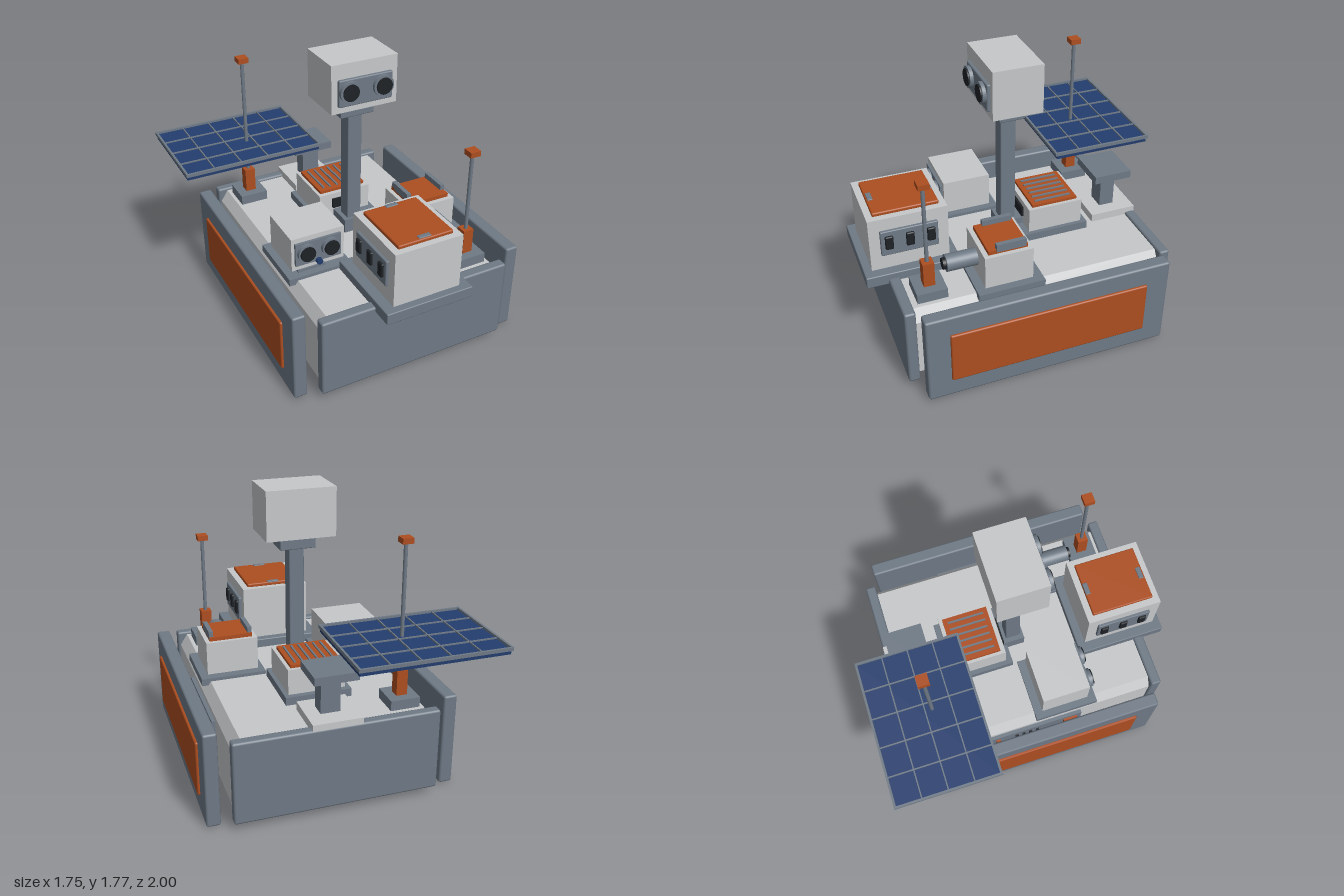
import * as THREE from 'three';
import { RoundedBoxGeometry } from 'three/addons/geometries/RoundedBoxGeometry.js';

const paint = (name, color) => {
  const m = new THREE.MeshStandardMaterial({ color });
  m.name = name;
  return m;
};

export function createModel() {
  const light = paint('light grey', 0xc6c8ca);
  const steel = paint('steel grey', 0x6f7a86);
  const orange = paint('burnt orange', 0xad4e20);
  const blue = paint('solar blue', 0x233d6e);
  const black = paint('black', 0x1e2226);
  const CX = 0.0875; // centre line of the chassis

  const model = new THREE.Group();
  model.name = 'rover';
  const group = (name) => {
    const g = new THREE.Group();
    g.name = name;
    model.add(g);
    return g;
  };
  // Box given by its limits on x, y and z; r bevels the edges
  const box = (parent, name, mat, [x0, x1], [y0, y1], [z0, z1], r = 0) => {
    const s = [x1 - x0, y1 - y0, z1 - z0];
    const geo = r ? new RoundedBoxGeometry(...s, 1, r) : new THREE.BoxGeometry(...s);
    const mesh = new THREE.Mesh(geo, mat);
    mesh.name = name;
    mesh.position.set((x0 + x1) / 2, (y0 + y1) / 2, (z0 + z1) / 2);
    parent.add(mesh);
    return mesh;
  };
  // Cylinder along z from z0 to z1
  const barrel = (parent, name, mat, x, y, r, z0, z1) => {
    const mesh = new THREE.Mesh(new THREE.CylinderGeometry(r, r, z1 - z0, 32), mat);
    mesh.name = name;
    mesh.rotation.x = Math.PI / 2;
    mesh.position.set(x, y, (z0 + z1) / 2);
    parent.add(mesh);
  };
  // Limits mirrored about the chassis centre line for side = -1
  const span = (side, a, b) => (side > 0 ? [CX + a, CX + b] : [CX - b, CX - a]);

  // Chassis: hull with sloped upper edges, closed by end panels
  const chassis = group('chassis');
  const section = new THREE.Shape([
    [-0.56, 0.05], [0.56, 0.05], [0.61, 0.1], [0.61, 0.48], [0.563, 0.555],
    [-0.563, 0.555], [-0.61, 0.48], [-0.61, 0.1],
  ].map(([x, y]) => new THREE.Vector2(x, y)));
  const hull = new THREE.Mesh(new THREE.ExtrudeGeometry(section, { depth: 1.58, bevelEnabled: false }), light);
  hull.name = 'hull';
  hull.position.set(CX, 0, -0.78);
  chassis.add(hull);
  box(chassis, 'frontPanel', steel, [-0.54, 0.715], [0.05, 0.572], [0.797, 0.866], 0.013);
  box(chassis, 'backPanel', steel, [-0.54, 0.715], [0.05, 0.572], [-0.828, -0.762], 0.013);
  box(chassis, 'bellyPlate', steel, [-0.453, 0.627], [0.018, 0.055], [-0.7, 0.74]);

  for (const side of [1, -1]) {
    // Side panels with orange inlay
    box(chassis, 'sidePanel', steel, span(side, 0.687, 0.772), [0.012, 0.608], [-0.748, 0.787], 0.013);
    box(chassis, 'sideInlay', orange, span(side, 0.765, 0.788), [0.137, 0.483], [-0.598, 0.645], 0.009);
    // Equipment on the hull flank, behind the side panel
    box(chassis, 'flankPlate', steel, span(side, 0.605, 0.633), [0.2, 0.45], [-0.325, 0.312]);
    box(chassis, 'flankHatch', orange, span(side, 0.63, 0.646), [0.23, 0.42], [0.185, 0.28]);
    box(chassis, 'flankMarker', orange, span(side, 0.63, 0.646), [0.23, 0.42], [-0.285, -0.257]);
    for (let i = 0; i < 4; i++) {
      const z = -0.142 + i * 0.048;
      box(chassis, 'flankVent', black, span(side, 0.63, 0.643), [0.25, 0.4], [z - 0.01, z + 0.01]);
    }
    // Belly rails and deck plates
    box(chassis, 'bellyRail', orange, span(side, 0.347, 0.382), [0, 0.02], [-0.57, 0.61]);
    box(chassis, 'deckPlate', steel, span(side, 0.202, 0.618), [0.53, 0.576], [0, 0.415]);
  }

  // Front equipment case on its bracket
  const frontCase = group('frontCase');
  box(frontCase, 'caseBracket', steel, [-0.2, 0.373], [0.538, 0.612], [0.415, 0.998], 0.006);
  box(frontCase, 'caseBody', light, [-0.135, 0.308], [0.61, 0.965], [0.468, 0.95]);
  box(frontCase, 'caseLid', orange, [-0.093, 0.267], [0.96, 0.987], [0.508, 0.91], 0.008);
  for (const z of [0.526, 0.885])
    box(frontCase, 'lidLatch', steel, [0.047, 0.127], [0.98, 0.992], [z - 0.016, z + 0.016], 0.004);
  for (const side of [1, -1]) {
    box(frontCase, 'caseSidePlate', steel, span(side, 0.215, 0.24), [0.715, 0.885], [0.535, 0.885], 0.006);
    for (const z of [0.58, 0.708, 0.835])
      box(frontCase, 'caseWindow', black, span(side, 0.23, 0.255), [0.762, 0.853], [z - 0.025, z + 0.025], 0.008);
  }

  // Mast and camera head
  const mast = group('mast');
  box(mast, 'mastFoot', steel, [0.01, 0.165], [0.55, 0.65], [-0.07, 0.09]);
  box(mast, 'mastColumn', steel, [0.04, 0.135], [0.6, 1.4], [-0.027, 0.07], 0.006);
  box(mast, 'neck', steel, [-0.026, 0.2], [1.385, 1.475], [-0.06, 0.1], 0.006);
  box(mast, 'head', light, [-0.13, 0.304], [1.468, 1.773], [-0.13, 0.18]);
  box(mast, 'facePlate', steel, [-0.09, 0.265], [1.51, 1.68], [0.17, 0.2], 0.008);
  for (const x of [-0.023, 0.196]) {
    barrel(mast, 'eyeRing', steel, x, 1.605, 0.066, 0.19, 0.222);
    barrel(mast, 'eyeLens', black, x, 1.605, 0.052, 0.2, 0.23);
  }

  // Twin sensor box
  const sensor = group('twinSensor');
  box(sensor, 'sensorFoot', steel, [-0.453, -0.27], [0.55, 0.592], [0.09, 0.37]);
  box(sensor, 'sensorBody', light, [-0.49, -0.14], [0.59, 0.815], [0.05, 0.36]);
  box(sensor, 'sensorFace', steel, [-0.47, -0.167], [0.628, 0.782], [0.35, 0.377]);
  for (const x of [-0.4, -0.242]) {
    barrel(sensor, 'sensorRing', steel, x, 0.715, 0.06, 0.37, 0.402);
    barrel(sensor, 'sensorLens', black, x, 0.715, 0.049, 0.38, 0.412);
  }
  barrel(sensor, 'sensorButton', blue, -0.32, 0.633, 0.02, 0.37, 0.402);

  // Telescope box
  const scope = group('telescopeBox');
  box(scope, 'scopeBody', light, [0.325, 0.655], [0.57, 0.79], [0.06, 0.36]);
  box(scope, 'scopeLid', orange, [0.353, 0.628], [0.785, 0.815], [0.085, 0.33]);
  for (const x of [0.367, 0.616])
    box(scope, 'scopeHandle', steel, [x - 0.014, x + 0.014], [0.8, 0.85], [0.095, 0.28]);
  barrel(scope, 'scopeTube', steel, 0.49, 0.695, 0.053, 0.35, 0.55);
  barrel(scope, 'scopeLens', black, 0.49, 0.695, 0.036, 0.54, 0.57);

  // Ribbed radiator box behind the mast
  const radiator = group('radiator');
  box(radiator, 'radiatorBase', steel, [-0.12, 0.295], [0.545, 0.606], [-0.46, -0.03]);
  box(radiator, 'radiatorBody', light, [-0.09, 0.27], [0.6, 0.767], [-0.425, -0.07]);
  box(radiator, 'radiatorLid', orange, [-0.07, 0.247], [0.76, 0.785], [-0.4, -0.1]);
  for (let i = 0; i < 6; i++) {
    const x = -0.03 + i * 0.048;
    box(radiator, 'radiatorRib', steel, [x - 0.006, x + 0.006], [0.78, 0.793], [-0.37, -0.13]);
  }
  box(radiator, 'radiatorPort', black, [0.0, 0.175], [0.665, 0.73], [-0.075, -0.055]);

  // Solar mount
  const mount = group('solarMount');
  box(mount, 'mountSlab', light, [-0.055, 0.25], [0.55, 0.607], [-0.825, -0.52]);
  box(mount, 'mountColumn', steel, [0.045, 0.165], [0.6, 0.84], [-0.71, -0.613]);
  box(mount, 'mountHead', steel, [-0.04, 0.23], [0.828, 0.878], [-0.788, -0.54]);

  // Solar panel: blue slab under a grid of 5 by 4 cells
  const solar = group('solarPanel');
  const [X0, X1, Z0, Z1] = [-0.875, 0.053, -1, -0.338];
  box(solar, 'solarCells', blue, [X0 + 0.008, X1 - 0.008], [0.953, 0.985], [Z0 + 0.012, Z1 - 0.012]);
  for (let i = 0; i <= 5; i++) {
    const h = i % 5 ? 0.004 : 0.007;
    const x = X0 + 0.007 + (i / 5) * (X1 - X0 - 0.014);
    box(solar, 'gridBar', steel, [x - h, x + h], [0.978, i % 5 ? 0.994 : 1], [Z0, Z1]);
  }
  for (let i = 0; i <= 4; i++) {
    const h = i % 4 ? 0.004 : 0.007;
    const z = Z0 + 0.007 + (i / 4) * (Z1 - Z0 - 0.014);
    box(solar, 'gridBar', steel, [X0, X1], [0.978, i % 4 ? 0.993 : 0.999], [z - h, z + h]);
  }

  // Antennas: plinth, orange socket, rod and cap
  for (const [x, z, top] of [[0.533, 0.67, 1.315], [-0.361, -0.625, 1.583]]) {
    const antenna = group('antenna');
    box(antenna, 'antennaPlinth', steel, [x - 0.092, x + 0.092], [0.54, 0.618], [z - 0.092, z + 0.092]);
    box(antenna, 'antennaSocket', orange, [x - 0.034, x + 0.034], [0.61, 0.777], [z - 0.034, z + 0.034]);
    const rod = new THREE.Mesh(new THREE.CylinderGeometry(0.012, 0.012, top - 0.78, 16), steel);
    rod.name = 'antennaRod';
    rod.position.set(x, (top + 0.74) / 2, z);
    antenna.add(rod);
    box(antenna, 'antennaCap', orange, [x - 0.034, x + 0.034], [top - 0.034, top], [z - 0.034, z + 0.034]);
  }
  return model;
}
